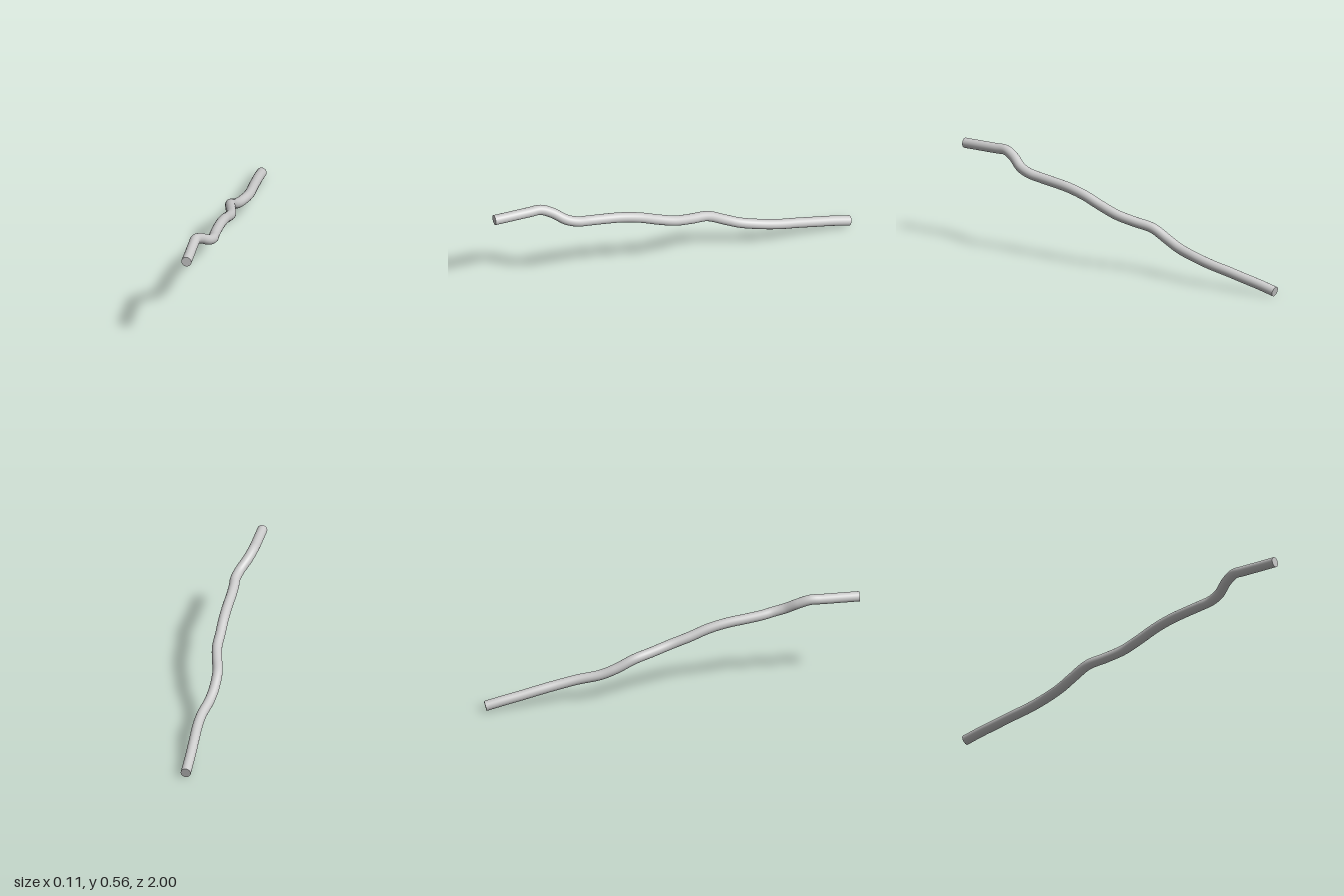
import * as THREE from 'three';

const RADIUS = 0.027;
const SIDES = 24;

export function createModel() {
  const group = new THREE.Group();
  group.name = 'bentRod';
  const material = new THREE.MeshStandardMaterial({ color: 0xcccccc, side: THREE.DoubleSide });

  // Centre line, from the raised front end down to the low back end
  const path = new THREE.CatmullRomCurve3([
    [-0.028, 0.538, 1], [-0.029, 0.538, 0.9], [-0.03, 0.538, 0.8], [-0.029, 0.538, 0.74],
    [-0.014, 0.514, 0.68], [0.018, 0.472, 0.61], [0.028, 0.452, 0.55], [0.023, 0.439, 0.49],
    [0.02, 0.425, 0.4], [0.02, 0.409, 0.3], [0.02, 0.382, 0.2], [0.018, 0.342, 0.1],
    [0.016, 0.307, 0], [-0.004, 0.28, -0.1], [-0.026, 0.256, -0.2], [-0.027, 0.206, -0.3],
    [-0.018, 0.172, -0.38], [0, 0.144, -0.5], [0.003, 0.121, -0.6], [-0.002, 0.1, -0.7],
    [-0.007, 0.077, -0.8], [-0.011, 0.055, -0.9], [-0.013, 0.032, -0.993],
  ].map((p) => new THREE.Vector3(...p)));

  // Round rod swept along the centre line
  const rod = new THREE.Mesh(new THREE.TubeGeometry(path, 160, RADIUS, SIDES), material);
  rod.name = 'rod';
  group.add(rod);

  // Flat discs closing both ends
  for (const [name, t, sign] of [['frontCap', 0, -1], ['backCap', 1, 1]]) {
    const cap = new THREE.Mesh(new THREE.CircleGeometry(RADIUS, SIDES), material);
    const outward = path.getTangentAt(t).multiplyScalar(sign);
    cap.name = name;
    cap.position.copy(path.getPointAt(t));
    cap.quaternion.setFromUnitVectors(new THREE.Vector3(0, 0, 1), outward);
    group.add(cap);
  }
  return group;
}
